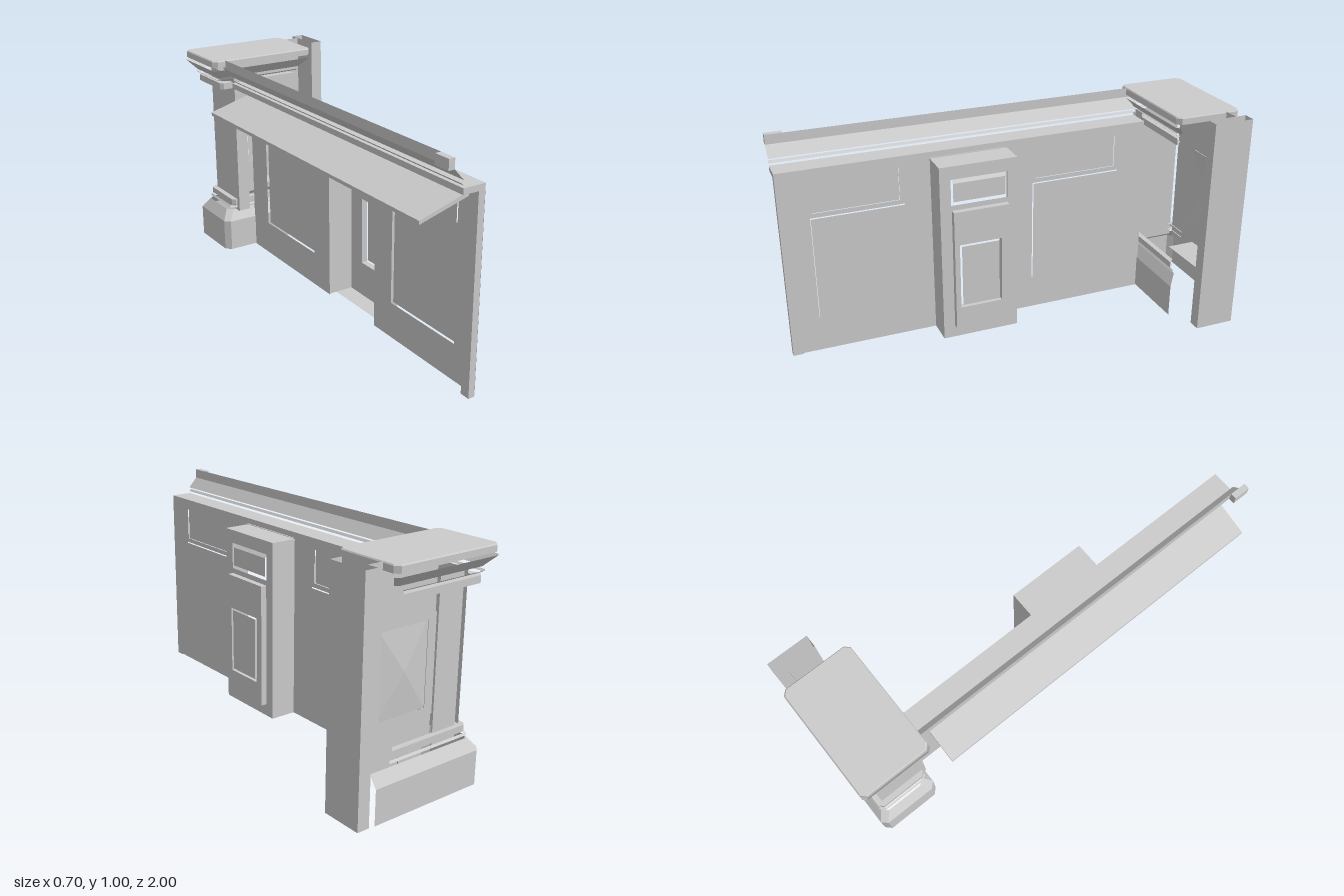
import * as THREE from 'three';

const material = new THREE.MeshStandardMaterial({ color: 0xcccccc, flatShading: true, side: THREE.DoubleSide });

export function createModel() {
  const model = new THREE.Group();

  function add(name, geometry) {
    const mesh = new THREE.Mesh(geometry, material);
    mesh.name = name;
    model.add(mesh);
    return mesh;
  }

  // Box given by its limits
  function box(name, x0, x1, y0, y1, z0, z1) {
    const mesh = add(name, new THREE.BoxGeometry(x1 - x0, y1 - y0, z1 - z0));
    mesh.position.set((x0 + x1) / 2, (y0 + y1) / 2, (z0 + z1) / 2);
  }

  function outline(path, a0, a1, b0, b1) {
    path.moveTo(a0, b0);
    path.lineTo(a1, b0);
    path.lineTo(a1, b1);
    path.lineTo(a0, b1);
    path.closePath();
    return path;
  }

  // Flat sheet with rectangular openings, each given as [from, to, bottom, top]
  function sheet([a, b, y0, y1], holes) {
    const shape = outline(new THREE.Shape(), -b, -a, y0, y1);
    for (const [c, d, e, f] of holes) shape.holes.push(outline(new THREE.Path(), -d, -c, e, f));
    return new THREE.ShapeGeometry(shape);
  }

  // Sheet facing +x, measured along z
  function sheetX(name, x, limits, holes = []) {
    add(name, sheet(limits, holes).rotateY(Math.PI / 2).translate(x, 0, 0));
  }

  // Sheet facing -z, measured along x
  function sheetZ(name, z, limits, holes = []) {
    add(name, sheet(limits, holes).rotateY(Math.PI).translate(0, 0, z));
  }

  function surface(name, pos, index) {
    const g = new THREE.BufferGeometry();
    g.setAttribute('position', new THREE.Float32BufferAttribute(pos, 3));
    g.setIndex(index);
    g.computeVertexNormals();
    add(name, g);
  }

  // Open strip swept along z from points [x, y]
  function strip(name, points, z0, z1) {
    const pos = [], index = [];
    points.forEach(([x, y], i) => {
      pos.push(x, y, z0, x, y, z1);
      if (i) index.push(2 * i - 2, 2 * i - 1, 2 * i, 2 * i - 1, 2 * i + 1, 2 * i);
    });
    surface(name, pos, index);
  }

  // Corner-cut rectangle seen from above
  function plan(x0, x1, z0, z1, c) {
    return [[x0 + c, z1], [x1 - c, z1], [x1, z1 - c], [x1, z0 + c],
      [x1 - c, z0], [x0 + c, z0], [x0, z0 + c], [x0, z1 - c]];
  }

  // Moulding around the pedestal from a profile of [y, inset], skipping the listed sides
  function moulding(name, [x0, x1, z0, z1], cut, profile, skip = []) {
    const pos = [], index = [];
    profile.forEach(([y, inset], k) => {
      for (const [x, z] of plan(x0 + inset, x1 - inset, z0 + inset, z1 - inset, cut)) pos.push(x, y, z);
      if (!k) return;
      for (let i = 0; i < 8; i++) {
        if (skip.includes(i)) continue;
        const a = (k - 1) * 8 + i, b = (k - 1) * 8 + (i + 1) % 8;
        index.push(a, b, a + 8, b, b + 8, a + 8);
      }
    });
    surface(name, pos, index);
  }

  // Long wall in two bays, each with two openings and panels close to its face
  const wallX = -0.1;
  const bays = [
    { limits: [0.34, 1, 0.02, 0.855], lower: [0.46, 0.87, 0.18, 0.66], upper: [0.48, 0.86, 0.68, 0.83] },
    { limits: [-0.71, -0.01, 0.02, 0.855], lower: [-0.57, -0.14, 0.18, 0.66], upper: [-0.55, -0.155, 0.68, 0.83] },
  ];
  for (const { limits, lower, upper } of bays) {
    sheetX('wallFrame', wallX, limits, [lower, upper]);
    sheetX('lowerPanel', wallX + 0.012, lower);
    sheetX('upperPanel', wallX - 0.005, upper);
  }
  box('endStile', -0.13, wallX - 0.001, 0.015, 0.855, 0.955, 1);

  // Hollow pilaster
  const [pz0, pz1] = [-0.015, 0.34];
  sheetX('pilasterFront', 0.022, [pz0, pz1, 0.02, 0.85], [[0.03, 0.29, 0.67, 0.79], [0.05, 0.27, 0.12, 0.6]]);
  for (const z of [pz0, pz1]) sheetZ('pilasterSide', z, [wallX, 0.022, 0.02, 0.85]);
  strip('pilasterTop', [[wallX, 0.85], [0.022, 0.85]], pz0, pz1);
  strip('pilasterFloor', [[-0.06, 0.02], [0.022, 0.02]], pz0, pz1);
  sheetX('pilasterUpperPanel', 0.022, [0.04, 0.28, 0.685, 0.77]);
  strip('pilasterUpperReturn', [[0.022, 0.77], [0, 0.79]], 0.04, 0.28);

  // Raised frame on the pilaster with its small inner panel
  const frame = outline(new THREE.Shape(), -0.288, -0.032, 0.077, 0.647);
  frame.holes.push(outline(new THREE.Path(), -0.265, -0.07, 0.18, 0.49));
  add('pilasterFrame', new THREE.ExtrudeGeometry(frame, { depth: 0.028, bevelEnabled: false })
    .rotateY(Math.PI / 2).translate(0.022, 0, 0));
  sheetX('pilasterInnerPanel', 0.048, [0.08, 0.255, 0.19, 0.48]);

  // Sloping counter behind the wall
  const slope = new THREE.Shape([[-0.35, 0.762], [-0.13, 0.822], [-0.13, 0.84], [-0.35, 0.777]]
    .map(([x, y]) => new THREE.Vector2(x, y)));
  add('slopingCounter', new THREE.ExtrudeGeometry(slope, { depth: 1.58, bevelEnabled: false }))
    .position.z = -0.63;

  // Ledge and open rail strips above the wall
  box('wallLedge', -0.2, -0.1, 0.855, 0.88, -0.7, 1);
  strip('railBead', [[-0.21, 0.9], [-0.2, 0.89]], -0.7, 1);
  strip('railCove', [[-0.2, 0.91], [-0.243, 0.957], [-0.243, 1]], -0.7, 1);
  box('railEnd', -0.27, -0.243, 0.957, 1, 0.925, 1);

  // Pedestal base and lower mouldings, open on the right and run on to the post at the back
  const postX = 0.297, open = [1, 2, 3];
  moulding('pedestalBase', [-0.265, 0.25, -1, -0.705], 0.025, [[0.022, 0], [0.172, 0], [0.22, 0.035]], open);
  sheetZ('baseBack', -1, [0.225, postX, 0.022, 0.172]);
  surface('baseBackSlope', [0.225, 0.172, -1, postX, 0.172, -1, postX, 0.22, -0.965, 0.19, 0.22, -0.965],
    [0, 2, 1, 0, 3, 2]);
  moulding('baseBead', [-0.225, 0.225, -0.97, -0.72], 0.02, [[0.235, 0], [0.243, 0.008]], open);
  moulding('baseBand', [-0.215, 0.2, -0.96, -0.72], 0.015, [[0.25, 0.025], [0.25, 0], [0.278, 0], [0.278, 0.025]], open);
  sheetZ('baseBandBack', -0.96, [0.185, postX, 0.25, 0.278]);

  // Pedestal shaft, open towards the room, with a slot at its back corner
  const opening = [-0.015, 0.235, 0.385, 0.745];
  sheetZ('shaftBack', -0.92, [-0.05, postX, 0.22, 1], [opening]);
  sheetZ('shaftBackStile', -0.94, [-0.17, -0.045, 0.22, 0.91]);
  sheetX('shaftSide', -0.19, [-0.94, -0.7, 0.22, 0.91]);
  sheetZ('shaftFrontEdge', -0.705, [-0.19, -0.13, 0.22, 0.91]);

  // Raised shaft panel with a shallow pyramid
  sheetZ('shaftPanelFrame', -0.935, [-0.04, 0.26, 0.36, 0.77], [opening]);
  const pyramid = new THREE.ConeGeometry(Math.SQRT1_2, 0.015, 4, 1, true)
    .rotateY(Math.PI / 4).rotateX(-Math.PI / 2).scale(0.25, 0.36, 1);
  add('shaftPanel', pyramid).position.set(0.11, 0.565, -0.925);

  // Pedestal cap in separate layers
  moulding('capBand', [-0.25, 0.18, -0.965, -0.72], 0.015, [[0.85, 0.04], [0.85, 0], [0.88, 0], [0.88, 0.03]], open);
  moulding('capBead', [-0.265, 0.19, -0.97, -0.715], 0.015, [[0.89, 0.01], [0.897, 0]], open);
  moulding('capCove', [-0.305, 0.23, -0.995, -0.675], 0.015, [[0.91, 0.04], [0.955, 0]], [2]);
  moulding('capEdge', [-0.302, 0.227, -0.993, -0.678], 0.02, [[0.968, 0], [0.995, 0], [1, 0.004]]);
  const lid = new THREE.Shape(plan(-0.298, 0.223, -0.989, -0.682, 0.02).map(([x, z]) => new THREE.Vector2(x, -z)));
  add('capTop', new THREE.ShapeGeometry(lid).rotateX(-Math.PI / 2)).position.y = 1;

  // Open-topped wall post and the sill joining it to the pedestal
  const [qx1, qz0, qz1] = [0.353, -0.97, -0.785];
  for (const x of [postX, qx1]) sheetX('postFace', x, [qz0, qz1, 0, 1]);
  for (const z of [qz0, qz1]) sheetZ('postEdge', z, [postX, qx1, 0, 1]);
  strip('postFoot', [[postX, 0], [qx1, 0]], qz0, qz1);
  strip('joiningSill', [[0.05, 0.285], [postX, 0.29]], -0.92, -0.79);

  return model;
}
